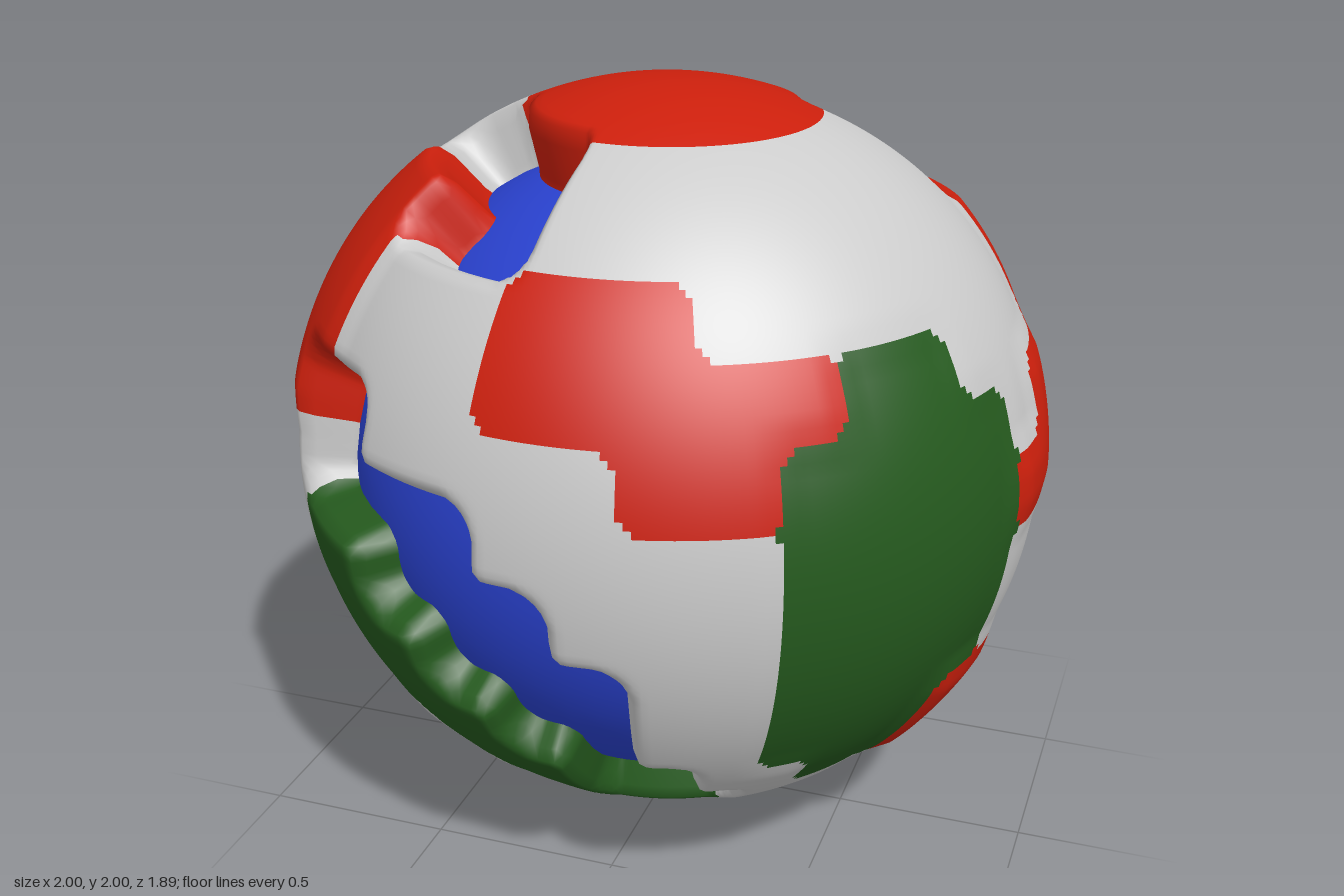
import * as THREE from 'three';

// Unrolled globe: 16 latitude bands (top to bottom) by 32 columns, starting at the back and
// running past -x, the front and +x.
// . sea, w grey land, g green land, c flush red land, r raised red land, p high red plate
const MAP = [
  'cccccccccccccccccccccccccccccccc',
  'cccccccccccccccccccccccccccccccc',
  '.wwwwwww.......wwwwwwwwwww......',
  '.wwwwwwwwrrr...wwwwwwwwwww......',
  'wwwwwggwwrrrwwwcccwwwwwwwwrrrwww',
  'wggwwggggrrrwwwcccccggwwwwrrrwww',
  'gggwwwrrrrr..wwwwccggggwrrrwwwww',
  'ggwwggrrrww....wwwwggggrrrrwww..',
  'ggggggwwwwwgg...wwwggggwwwwwww..',
  '..gggg..wwwggg...wwggggwwwwwww..',
  '..rrrr..wwwgggg..wwgggrrwwwwwww.',
  'wwrrrrwwwwwwwggg..wwggrr.....www',
  'gggwwwwwwwwwwwgg...wwwwwrrr..wwg',
  'gggwwwwwwwwwwwwwgggwwwwwwwwwwwwg',
  'ppppgggggggggggggggggggggggggggp',
  'gggggggggggggggggggggggggggggggg',
];
const COLS = 32, ROWS = 16, SUB = 10;
const SEA = 0.83, FLOOR = 0.805;
const CENTRE = new THREE.Vector3(-0.015, 0.985, -0.01);
const HEIGHT = { w: 0.953, g: 0.945, c: 0.953, r: 0.975, p: 1.05 };
const LANDS = {
  greyLand: { keys: 'w', color: 0xcccccc },
  greenLand: { keys: 'g', color: 0x255a1e },
  redLand: { keys: 'crp', color: 0xcc1f0c },
};

// Keeps cells squarish with slightly rounded corners
const sharpen = (f) => Math.min(1, Math.max(0, (f - 0.5) * 1.6 + 0.5));

// Blend the four nearest map cells; u and v are measured in cells
function sample(u, v) {
  const c = Math.floor(u - 0.5), r = Math.floor(v - 0.5);
  const fu = sharpen(u - 0.5 - c), fv = sharpen(v - 0.5 - r);
  const weights = { '.': 0, w: 0, g: 0, c: 0, r: 0, p: 0 };
  for (let a = 0; a < 2; a++) {
    for (let b = 0; b < 2; b++) {
      const row = MAP[Math.min(ROWS - 1, Math.max(0, r + a))];
      weights[row[(c + b + COLS) % COLS]] += (a ? fv : 1 - fv) * (b ? fu : 1 - fu);
    }
  }
  return weights;
}

// Land rises steeply at the shore, rounds off at the top and is a little higher in the north
function radiusAt(u, v) {
  const weights = sample(u, v);
  const land = 1 - weights['.'];
  if (land < 0.46) return FLOOR;
  let top = 0.015 + 0.035 * Math.cos(Math.PI * v / ROWS);
  for (const k in HEIGHT) top += weights[k] * HEIGHT[k] / land;
  const t = Math.min(1, (land - 0.46) / 0.54);
  return FLOOR + (top - FLOOR) * (1 - (1 - t) ** 3);
}

function landGeometries() {
  const nu = COLS * SUB, nv = ROWS * SUB;
  const positions = [], radii = [];
  for (let j = 0; j <= nv; j++) {
    const polar = Math.PI * j / nv;
    for (let i = 0; i < nu; i++) {
      const lon = -Math.PI + 2 * Math.PI * i / nu;
      const r = radiusAt(i / SUB, j / SUB);
      radii.push(r);
      positions.push(
        r * Math.sin(polar) * Math.sin(lon) * 1.01,
        r * Math.cos(polar),
        r * Math.sin(polar) * Math.cos(lon) * 0.98);
    }
  }
  // one shared vertex per pole
  const id = (i, j) => (j === 0 || j === nv ? j * nu : j * nu + (i % nu));
  const all = [], split = {};
  for (const name in LANDS) split[name] = [];

  for (let j = 0; j < nv; j++) {
    for (let i = 0; i < nu; i++) {
      const a = id(i, j), b = id(i, j + 1), c = id(i + 1, j + 1), d = id(i + 1, j);
      const tris = [];
      if (j < nv - 1) tris.push(a, b, c);
      else tris.push(a, b, d);
      if (j > 0 && j < nv - 1) tris.push(a, c, d);
      all.push(...tris);
      if ([a, b, c, d].every((n) => radii[n] <= FLOOR)) continue;
      // the strongest land colour at the middle of the patch wins
      const weights = sample((i + 0.5) / SUB, (j + 0.5) / SUB);
      let best = 'greyLand', most = -1;
      for (const name in LANDS) {
        let sum = 0;
        for (const k of LANDS[name].keys) sum += weights[k];
        if (sum > most) { most = sum; best = name; }
      }
      split[best].push(...tris);
    }
  }

  // normals come from the whole skin so that colours meet without a crease
  const whole = new THREE.BufferGeometry();
  whole.setAttribute('position', new THREE.Float32BufferAttribute(positions, 3));
  whole.setIndex(all);
  whole.computeVertexNormals();
  const result = {};
  for (const name in LANDS) {
    const g = new THREE.BufferGeometry();
    g.setAttribute('position', whole.getAttribute('position'));
    g.setAttribute('normal', whole.getAttribute('normal'));
    g.setIndex(split[name]);
    result[name] = g;
  }
  return result;
}

export function createModel() {
  const model = new THREE.Group();
  model.name = 'globe';
  const add = (name, geometry, color) => {
    const mesh = new THREE.Mesh(geometry, new THREE.MeshStandardMaterial({ color }));
    mesh.name = name;
    mesh.position.copy(CENTRE);
    model.add(mesh);
  };

  // Sea: a plain smooth ball under the land
  add('sea', new THREE.SphereGeometry(SEA, 64, 32), 0x2a42d0);

  // Land: one raised mesh per colour
  const geometries = landGeometries();
  for (const name in LANDS) add(name, geometries[name], LANDS[name].color);
  return model;
}
